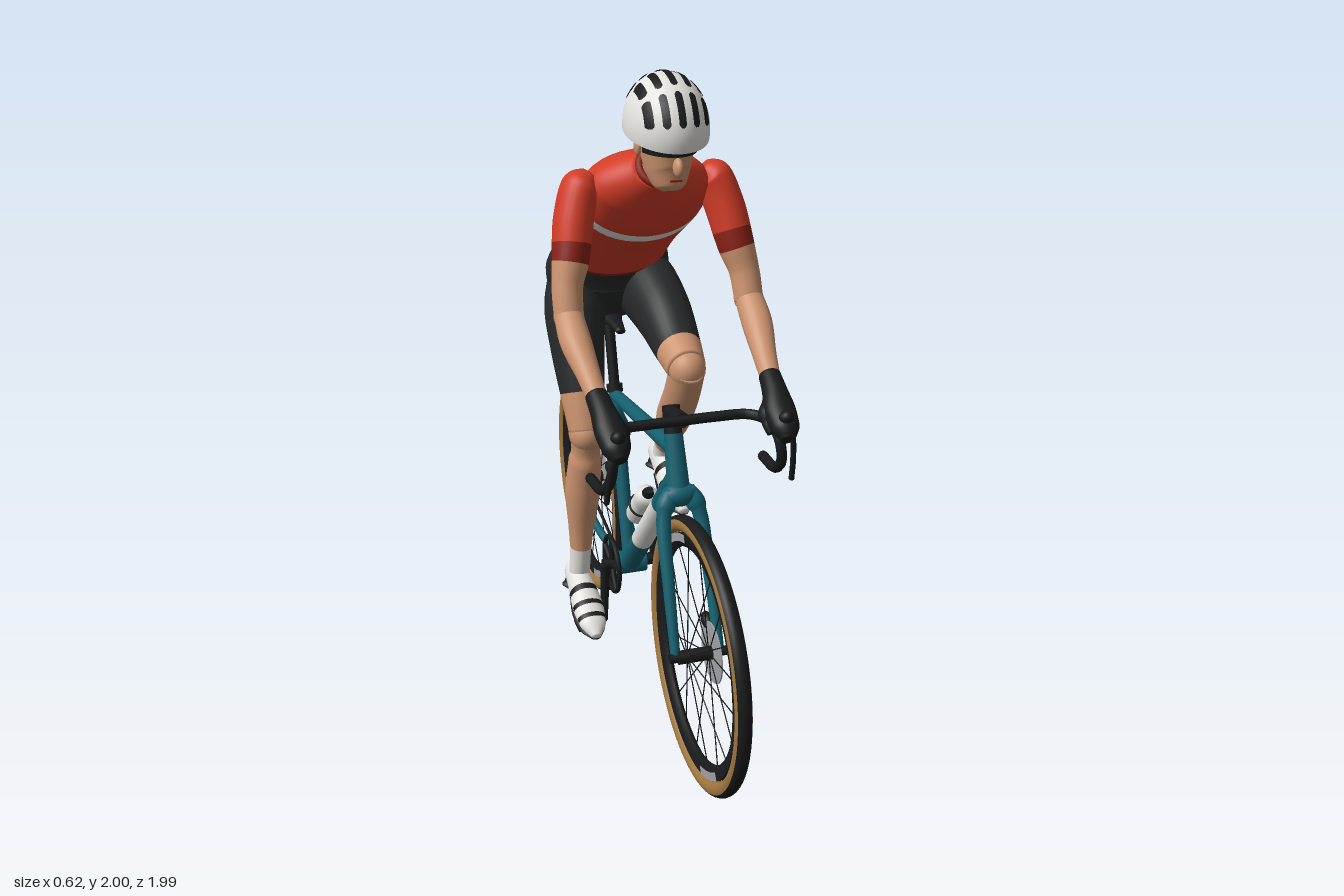
import * as THREE from 'three';
import { ParametricGeometry } from 'three/addons/geometries/ParametricGeometry.js';

const paint = (name, color) => Object.assign(new THREE.MeshStandardMaterial({ color, side: THREE.DoubleSide }), { name });
const M = {
  jersey: paint('jersey red', 0xd23c27), trim: paint('dark red', 0x8a2116), cloth: paint('shorts charcoal', 0x272829),
  black: paint('black', 0x191a1b), teal: paint('frame teal', 0x15606f), skin: paint('skin', 0xcb936f),
  tan: paint('tyre tan', 0xa0763f), white: paint('white', 0xe3e2de), silver: paint('silver', 0xa0a1a4), hair: paint('hair brown', 0x2b231d),
};
const V = (x, y, z) => new THREE.Vector3(x, y, z);

export function createModel() {
  const root = new THREE.Group();
  root.name = 'cyclist';
  const bike = new THREE.Group(), rider = new THREE.Group();
  bike.name = 'bicycle'; rider.name = 'rider';
  root.add(bike, rider);

  const add = (parent, name, geo, mat, pos = [0, 0, 0]) => {
    const m = new THREE.Mesh(geo, mat);
    m.name = name;
    m.position.set(...pos);
    parent.add(m);
    return m;
  };
  // straight round bar between two points
  const rod = (parent, name, a, b, r, mat, r2 = r, sides = 16) => {
    const p = V(...a), q = V(...b), d = q.clone().sub(p);
    const m = add(parent, name, new THREE.CylinderGeometry(r2, r, d.length(), sides), mat);
    m.position.copy(p).add(q).multiplyScalar(0.5);
    m.quaternion.setFromUnitVectors(V(0, 1, 0), d.normalize());
    return m;
  };
  const bend = (parent, name, pts, r, mat) =>
    add(parent, name, new THREE.TubeGeometry(new THREE.CatmullRomCurve3(pts.map(p => V(...p))), 40, r, 10), mat);
  const ball = (parent, name, pos, s, mat) => {
    const m = add(parent, name, new THREE.SphereGeometry(1, 24, 16), mat, pos);
    m.scale.set(...s);
    return m;
  };
  // smooth body through elliptical sections [x, y, z, halfWidth, halfDepth]; pick(u, angle) chooses the material
  const loft = (parent, name, secs, pick, steps = 8, n = 28) => {
    const path = new THREE.CatmullRomCurve3(secs.map(s => V(s[0], s[1], s[2])));
    const size = new THREE.CatmullRomCurve3(secs.map(s => V(s[3], s[4] ?? s[3], 0)));
    const rows = (secs.length - 1) * steps, pos = [], faces = new Map();
    const face = (u, a, ...ids) => {
      const mat = typeof pick === 'function' ? pick(u, a) : pick;
      if (!faces.has(mat)) faces.set(mat, []);
      faces.get(mat).push(...ids);
    };
    for (let i = 0; i <= rows; i++) {
      const c = path.getPoint(i / rows), r = size.getPoint(i / rows), t = path.getTangent(i / rows);
      const side = V(1, 0, 0).addScaledVector(t, -t.x).normalize(), dep = t.clone().cross(side);
      for (let j = 0; j < n; j++) {
        const a = j / n * Math.PI * 2;
        const p = c.clone().addScaledVector(side, Math.cos(a) * r.x).addScaledVector(dep, Math.sin(a) * r.y);
        pos.push(p.x, p.y, p.z);
      }
    }
    for (const e of [0, 1]) pos.push(...path.getPoint(e).toArray());
    const end = (rows + 1) * n;
    for (let j = 0; j < n; j++) {
      const k = (j + 1) % n, ang = (j + 0.5) / n * Math.PI * 2;
      for (let i = 0; i < rows; i++) {
        const a = i * n + j, b = i * n + k;
        face((i + 0.5) / rows, ang, a, b, b + n, a, b + n, a + n);
      }
      face(0, ang, end, k, j);
      face(1, ang, end + 1, rows * n + j, rows * n + k);
    }
    const geo = new THREE.BufferGeometry(), index = [], mats = [...faces.keys()];
    mats.forEach((m, i) => { geo.addGroup(index.length, faces.get(m).length, i); index.push(...faces.get(m)); });
    geo.setAttribute('position', new THREE.Float32BufferAttribute(pos, 3));
    geo.setIndex(index);
    geo.computeVertexNormals();
    return add(parent, name, geo, mats.length > 1 ? mats : mats[0]);
  };

  // wheels
  const spin = (pts) => new THREE.LatheGeometry(pts.map(p => new THREE.Vector2(...p)), 72).rotateZ(-Math.PI / 2);
  const arc = (a, b) => Array.from({ length: 9 }, (_, i) => {
    const t = (a + (b - a) * i / 8) * Math.PI / 180;
    return [0.378 + 0.024 * Math.cos(t), 0.024 * Math.sin(t)];
  });
  for (const [name, z] of [['frontWheel', 0.595], ['rearWheel', -0.595]]) {
    const w = new THREE.Group();
    w.name = name; w.position.set(0, 0.405, z);
    bike.add(w);
    add(w, 'tread', spin(arc(-58, 58)), M.black);
    add(w, 'sidewallLeft', spin(arc(58, 165)), M.tan);
    add(w, 'sidewallRight', spin(arc(-165, -58)), M.tan);
    add(w, 'rim', spin([[0.353, -0.016], [0.353, 0.016], [0.33, 0.014], [0.311, 0.004], [0.311, -0.004], [0.33, -0.014], [0.353, -0.016]]), M.black);
    for (const x of [-0.017, 0.017]) for (const a of [2.05, 5.19])
      add(w, 'rimPatch', new THREE.RingGeometry(0.328, 0.352, 16, 1, a - 0.22, 0.44).rotateY(-Math.PI / 2), M.silver, [x, 0, 0]);
    for (let i = 0; i < 20; i++) {
      const a = i / 20 * Math.PI * 2, c = Math.cos(a), s = Math.sin(a);
      rod(w, 'spoke', [i % 2 ? 0.03 : -0.03, 0.02 * s, 0.02 * c], [0, 0.315 * s, 0.315 * c], 0.0018, M.black, 0.0018, 5);
    }
    rod(w, 'hub', [-0.06, 0, 0], [0.06, 0, 0], 0.02, M.black);
    rod(w, 'brakeDisc', [0.04, 0, 0], [0.044, 0, 0], 0.09, M.silver, 0.09, 40);
    rod(w, 'axleEnds', [-0.085, 0, 0], [0.085, 0, 0], 0.014, M.black);
    const caliper = ball(w, 'brakeCaliper', [0.05, 0.065, z > 0 ? -0.07 : 0.075], [0.018, 0.02, 0.03], M.black);
    caliper.rotation.x = 0.3;
  }

  // frame and fork
  const bb = [0, 0.33, -0.107], down = f => [0, 0.33 + 0.53 * f, -0.107 + 0.487 * f];
  rod(bike, 'headTube', [0, 0.82, 0.405], [0, 0.99, 0.345], 0.034, M.teal, 0.027);
  rod(bike, 'topTube', [0, 0.945, 0.355], [0, 0.855, -0.275], 0.025, M.teal, 0.02);
  rod(bike, 'downTubeLower', bb, down(0.3), 0.034, M.teal);
  rod(bike, 'downTubePanel', down(0.3), down(0.73), 0.034, M.white);
  rod(bike, 'downTubeUpper', down(0.73), down(1), 0.034, M.teal);
  rod(bike, 'seatTube', bb, [0, 0.88, -0.277], 0.022, M.teal);
  rod(bike, 'bottomBracket', [-0.05, 0.33, -0.107], [0.05, 0.33, -0.107], 0.038, M.teal);
  ball(bike, 'forkCrown', [0, 0.825, 0.408], [0.055, 0.035, 0.036], M.teal);
  for (const s of [-1, 1]) {
    loft(bike, 'forkLeg', [[s * 0.025, 0.84, 0.405, 0.022], [s * 0.052, 0.78, 0.428, 0.022], [s * 0.062, 0.6, 0.508, 0.018], [s * 0.066, 0.395, 0.595, 0.014]], M.teal, 6, 14);
    bend(bike, 'seatStay', [[s * 0.015, 0.79, -0.255], [s * 0.045, 0.72, -0.305], [s * 0.07, 0.405, -0.595]], 0.011, M.teal);
    bend(bike, 'chainStay', [[s * 0.025, 0.335, -0.12], [s * 0.05, 0.355, -0.26], [s * 0.072, 0.405, -0.6]], 0.014, M.teal);
  }

  // seat post and saddle
  rod(bike, 'seatClamp', [0, 0.865, -0.272], [0, 0.89, -0.28], 0.026, M.black);
  rod(bike, 'seatPost', [0, 0.87, -0.275], [0, 1.09, -0.345], 0.017, M.black);
  loft(bike, 'saddle', [[0, 1.122, -0.495, 0.03, 0.008], [0, 1.12, -0.46, 0.07, 0.016], [0, 1.108, -0.38, 0.056, 0.022], [0, 1.105, -0.28, 0.027, 0.018], [0, 1.1, -0.2, 0.015, 0.01]], M.black);

  // stem and drop bar
  rod(bike, 'steererSpacers', [0, 0.985, 0.347], [0, 1.065, 0.32], 0.026, M.black);
  rod(bike, 'stem', [0, 1.045, 0.327], [0, 1.065, 0.43], 0.022, M.black);
  for (const s of [-1, 1]) {
    bend(bike, 'dropBar', [[0, 1.065, 0.43], [s * 0.1, 1.065, 0.43], [s * 0.19, 1.065, 0.44], [s * 0.225, 1.065, 0.49], [s * 0.235, 1.045, 0.555], [s * 0.245, 0.98, 0.565], [s * 0.252, 0.92, 0.505], [s * 0.257, 0.905, 0.39]], 0.015, M.black);
    loft(bike, 'brakeHood', [[s * 0.23, 1.06, 0.5, 0.018], [s * 0.235, 1.075, 0.56, 0.022], [s * 0.237, 1.125, 0.61, 0.02], [s * 0.237, 1.14, 0.615, 0.008]], M.black, 5, 12);
    bend(bike, 'brakeLever', [[s * 0.237, 1.11, 0.61], [s * 0.25, 1.07, 0.622], [s * 0.26, 1.0, 0.61], [s * 0.265, 0.925, 0.592]], 0.008, M.black);
  }

  // cranks, chain and gears
  for (const [s, y] of [[1, 0.53], [-1, 0.125]]) {
    rod(bike, 'crankArm', [s * 0.083, 0.33, -0.107], [s * 0.088, y, -0.107], 0.016, M.black, 0.012);
    rod(bike, 'pedalAxle', [s * 0.08, y, -0.107], [s * 0.15, y, -0.107], 0.008, M.black);
    add(bike, 'pedal', new THREE.BoxGeometry(0.07, 0.026, 0.07), M.black, [s * 0.147, y, -0.107]);
  }
  rod(bike, 'crankAxle', [-0.09, 0.33, -0.107], [0.09, 0.33, -0.107], 0.02, M.black);
  add(bike, 'chainring', new THREE.TorusGeometry(0.09, 0.008, 8, 48).rotateY(Math.PI / 2), M.black, [-0.06, 0.33, -0.107]);
  for (let i = 0; i < 5; i++) {
    const a = i * Math.PI * 0.4 + 0.3;
    rod(bike, 'chainringArm', [-0.06, 0.33, -0.107], [-0.06, 0.33 + 0.09 * Math.sin(a), -0.107 + 0.09 * Math.cos(a)], 0.009, M.black);
  }
  for (let i = 0; i < 5; i++)
    rod(bike, 'cassetteCog', [-0.034 - i * 0.006, 0.405, -0.595], [-0.037 - i * 0.006, 0.405, -0.595], 0.07 - i * 0.008, M.black, 0.07 - i * 0.008, 28);
  rod(bike, 'chainTop', [-0.06, 0.424, -0.107], [-0.045, 0.465, -0.585], 0.005, M.black);
  rod(bike, 'chainBottom', [-0.06, 0.236, -0.107], [-0.055, 0.2, -0.55], 0.005, M.black);
  rod(bike, 'derailleurBody', [-0.075, 0.38, -0.59], [-0.068, 0.3, -0.575], 0.018, M.black);
  rod(bike, 'derailleurCage', [-0.062, 0.31, -0.575], [-0.06, 0.21, -0.548], 0.012, M.black);
  for (const [y, z] of [[0.3, -0.57], [0.215, -0.55]])
    rod(bike, 'jockeyWheel', [-0.065, y, z], [-0.05, y, z], 0.025, M.black);

  // bottle lying along the down tube
  const bottle = new THREE.Group();
  bottle.name = 'bottle';
  bottle.position.set(0, 0.62, 0.045);
  bottle.rotation.x = 0.743;
  bike.add(bottle);
  add(bottle, 'bottleBody', new THREE.LatheGeometry([[0, -0.1], [0.034, -0.1], [0.036, -0.09], [0.036, 0], [0.032, 0.012], [0.036, 0.024], [0.036, 0.06], [0.024, 0.078], [0, 0.078]].map(p => new THREE.Vector2(...p)), 24), M.white);
  rod(bottle, 'bottleCap', [0, 0.074, 0], [0, 0.105, 0], 0.02, M.black, 0.012);
  add(bottle, 'bottleCage', new THREE.TorusGeometry(0.038, 0.004, 8, 28).rotateX(Math.PI / 2), M.black, [0, -0.02, 0]);

  // torso, hips and neck
  loft(rider, 'jersey', [[0, 1.345, -0.295, 0.174, 0.102], [0, 1.43, -0.21, 0.178, 0.118], [0, 1.505, -0.125, 0.185, 0.13], [0, 1.6, 0.02, 0.188, 0.132], [0, 1.67, 0.12, 0.17, 0.1], [0, 1.727, 0.195, 0.072, 0.06]],
    (u, a) => u < 0.05 ? M.trim : Math.abs(u - 0.6) < 0.035 ? M.white : u < 0.56 && Math.sin(a) > -0.6 && Math.sin(a) < 0.25 ? M.trim : M.jersey, 14, 40);
  const collar = add(rider, 'collar', new THREE.TorusGeometry(0.058, 0.011, 10, 32), M.trim, [0, 1.73, 0.2]);
  collar.rotation.x = -0.75;
  loft(rider, 'shortsHips', [[0, 1.375, -0.265, 0.165, 0.095], [0, 1.34, -0.3, 0.178, 0.108], [0, 1.27, -0.35, 0.2, 0.128], [0, 1.19, -0.365, 0.185, 0.115], [0, 1.11, -0.365, 0.1, 0.06]], M.cloth);
  loft(rider, 'neck', [[0, 1.66, 0.14, 0.055], [0, 1.73, 0.2, 0.052], [0, 1.8, 0.245, 0.052]], M.skin);

  // head
  loft(rider, 'head', [[0, 1.688, 0.3, 0.022, 0.025], [0, 1.7, 0.297, 0.042, 0.045], [0, 1.74, 0.28, 0.06, 0.076], [0, 1.79, 0.265, 0.071, 0.098], [0, 1.85, 0.255, 0.077, 0.108], [0, 1.92, 0.25, 0.06, 0.085]], M.skin);
  ball(rider, 'nose', [0, 1.768, 0.368], [0.014, 0.026, 0.024], M.skin).rotation.x = -0.3;
  add(rider, 'mouth', new THREE.BoxGeometry(0.034, 0.005, 0.006), M.trim, [0, 1.728, 0.351]);
  ball(rider, 'hair', [0, 1.845, 0.212], [0.078, 0.068, 0.07], M.hair);
  for (const s of [-1, 1]) ball(rider, 'ear', [s * 0.077, 1.805, 0.25], [0.011, 0.027, 0.018], M.skin);
  const glasses = add(rider, 'glasses', new THREE.CylinderGeometry(1, 0.95, 0.036, 32, 1, true, -1.3, 2.6), M.black, [0, 1.815, 0.262]);
  glasses.scale.set(0.084, 1, 0.117);

  // helmet with slotted vents
  const helmet = new THREE.Group();
  helmet.name = 'helmet';
  helmet.position.set(0, 1.856, 0.255);
  helmet.rotation.x = 0.16;
  rider.add(helmet);
  const shell = add(helmet, 'helmetShell', new THREE.SphereGeometry(1, 40, 20, 0, Math.PI * 2, 0, Math.PI * 0.54), M.white);
  shell.scale.set(0.114, 0.143, 0.155);
  const lining = add(helmet, 'helmetLining', new THREE.CircleGeometry(1, 40).rotateX(Math.PI / 2), M.black, [0, -0.012, 0]);
  lining.scale.set(0.11, 1, 0.15);
  for (const x of [-0.68, -0.35, 0, 0.35, 0.68]) for (const [a, b] of [[0.36, 1.05], [1.2, 1.85], [2.0, 2.65]]) {
    const vent = new ParametricGeometry((u, v, p) => {
      const px = x + (u - 0.5) * 0.17 * Math.min(1, 0.4 + 3 * Math.sin(v * Math.PI)), t = a + (b - a) * v, r = Math.sqrt(1 - px * px);
      p.set(px * 0.116, Math.sin(t) * r * 0.146, Math.cos(t) * r * 0.158);
    }, 4, 12);
    add(helmet, 'helmetVent', vent, M.black);
  }

  // arms and gloves
  for (const s of [-1, 1]) {
    loft(rider, 'upperArm', [[s * 0.165, 1.685, 0.075, 0.03, 0.035], [s * 0.195, 1.655, 0.085, 0.056, 0.066], [s * 0.222, 1.58, 0.11, 0.057, 0.066], [s * 0.245, 1.47, 0.155, 0.053, 0.057], [s * 0.262, 1.4, 0.182, 0.044, 0.046], [s * 0.267, 1.32, 0.215, 0.042, 0.042]],
      u => u < 0.53 ? M.jersey : u < 0.62 ? M.trim : M.skin);
    ball(rider, 'elbow', [s * 0.267, 1.325, 0.212], [0.043, 0.043, 0.043], M.skin);
    loft(rider, 'forearm', [[s * 0.267, 1.335, 0.2, 0.04], [s * 0.267, 1.28, 0.28, 0.044], [s * 0.256, 1.215, 0.38, 0.034], [s * 0.248, 1.16, 0.465, 0.027]], M.skin);
    loft(rider, 'glove', [[s * 0.25, 1.175, 0.44, 0.031], [s * 0.246, 1.15, 0.49, 0.035], [s * 0.24, 1.115, 0.55, 0.045, 0.036], [s * 0.238, 1.085, 0.6, 0.04, 0.035], [s * 0.236, 1.062, 0.628, 0.02, 0.02]], M.black);
    loft(rider, 'thumb', [[s * 0.22, 1.13, 0.51, 0.016], [s * 0.203, 1.09, 0.55, 0.016], [s * 0.205, 1.06, 0.575, 0.009]], M.black, 5, 12);
  }

  // legs: left raised, right extended
  const legs = [
    { name: 'left', thigh: [[0.1, 1.22, -0.385, 0.085, 0.09], [0.112, 1.205, -0.29, 0.098, 0.118], [0.122, 1.165, -0.15, 0.088, 0.104], [0.124, 1.105, 0.0, 0.072, 0.074], [0.122, 1.075, 0.095, 0.058, 0.062]],
      calf: [[0.122, 1.085, 0.1, 0.054, 0.06], [0.124, 0.98, 0.045, 0.054, 0.062], [0.13, 0.87, -0.045, 0.055, 0.062], [0.138, 0.76, -0.135, 0.04, 0.043], [0.143, 0.69, -0.19, 0.034, 0.038], [0.145, 0.62, -0.218, 0.034, 0.04]],
      foot: [0.147, 0.575, -0.19], pitch: 0.24, hem: 0.79 },
    { name: 'right', thigh: [[-0.1, 1.24, -0.36, 0.09, 0.1], [-0.115, 1.15, -0.325, 0.097, 0.112], [-0.125, 1.03, -0.26, 0.084, 0.096], [-0.128, 0.91, -0.195, 0.07, 0.072], [-0.13, 0.79, -0.145, 0.054, 0.058]],
      calf: [[-0.13, 0.8, -0.142, 0.052, 0.056], [-0.133, 0.7, -0.155, 0.052, 0.056], [-0.136, 0.58, -0.18, 0.056, 0.062], [-0.14, 0.44, -0.19, 0.042, 0.045], [-0.143, 0.34, -0.195, 0.034, 0.038], [-0.145, 0.24, -0.21, 0.034, 0.04]],
      foot: [-0.147, 0.175, -0.18], pitch: 0.26, hem: 0.75 },
  ];
  for (const { name, thigh, calf, foot, pitch, hem } of legs) {
    loft(rider, name + 'Thigh', thigh, u => u < hem ? M.cloth : M.skin);
    ball(rider, name + 'Knee', [thigh[4][0], thigh[4][1], thigh[4][2]], [0.056, 0.06, 0.06], M.skin);
    loft(rider, name + 'Calf', calf, u => u < 0.75 ? M.skin : M.white);
    const shoe = new THREE.Group();
    shoe.name = name + 'Shoe';
    shoe.position.set(...foot);
    shoe.rotation.x = pitch;
    rider.add(shoe);
    loft(shoe, 'shoeUpper', [[0, 0.045, -0.115, 0.018, 0.025], [0, 0.05, -0.09, 0.037, 0.046], [0, 0.05, -0.02, 0.042, 0.05], [0, 0.04, 0.08, 0.05, 0.04], [0, 0.03, 0.155, 0.042, 0.028], [0, 0.02, 0.2, 0.014, 0.012]],
      (u, a) => Math.sin(a) > 0.1 && [0.5, 0.62, 0.74].some(b => Math.abs(u - b) < 0.025) ? M.black : M.white, 10);
    loft(shoe, 'shoeSole', [[0, 0.004, -0.115, 0.018, 0.008], [0, 0.004, -0.085, 0.036, 0.01], [0, 0.004, -0.02, 0.036, 0.01], [0, 0.004, 0.08, 0.049, 0.01], [0, 0.006, 0.155, 0.04, 0.01], [0, 0.012, 0.198, 0.014, 0.006]], M.black);
  }
  return root;
}
